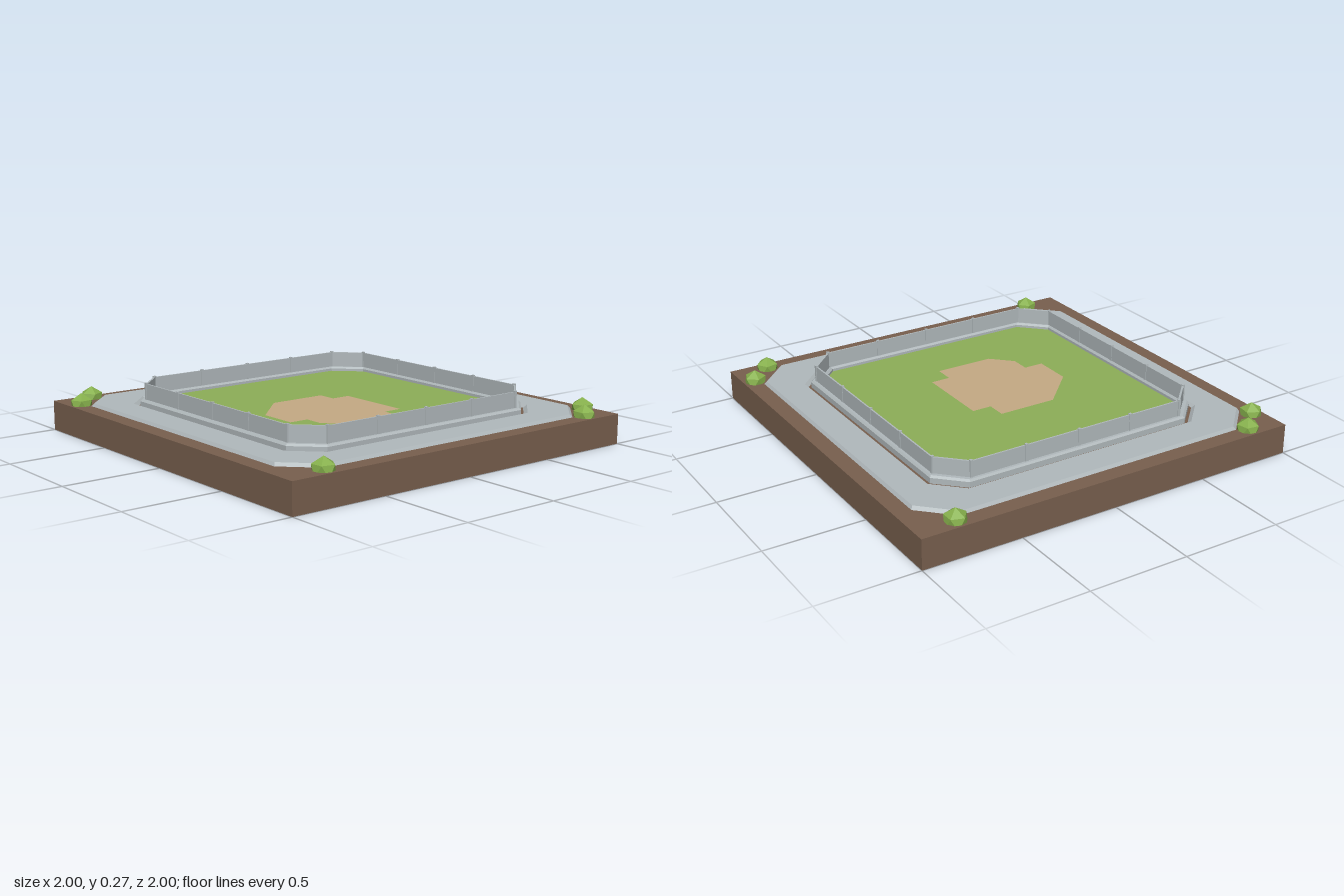
import * as THREE from 'three';

const mat = (name, color) => {
  const m = new THREE.MeshStandardMaterial({ color });
  m.name = name;
  return m;
};

// Square outline of half width h with cut corners starting at c, as [x, z]
const octagon = (h, c) => [[h, -c], [h, c], [c, h], [-c, h], [-h, c], [-h, -c], [-c, -h], [c, -h]];

// Closed band lofted through sections [halfWidth, cornerStart, y], outside to inside
function bandGeometry(sections) {
  const loops = sections.map(([h, c, y]) => octagon(h, c).map(([x, z]) => [x, y, z]));
  const pos = [];
  for (let i = 0; i < loops.length - 1; i++) {
    for (let j = 0; j < 8; j++) {
      const k = (j + 1) % 8;
      const a = loops[i][j], b = loops[i][k], c = loops[i + 1][k], d = loops[i + 1][j];
      pos.push(...a, ...d, ...c, ...a, ...c, ...b);
    }
  }
  const geo = new THREE.BufferGeometry();
  geo.setAttribute('position', new THREE.Float32BufferAttribute(pos, 3));
  geo.computeVertexNormals();
  return geo;
}

export function createModel() {
  const model = new THREE.Group();
  model.name = 'ballField';
  const earth = mat('earth brown', 0x785f4e);
  const concrete = mat('concrete grey', 0xb1b9bc);
  const grass = mat('grass green', 0x8dae58);
  const dirt = mat('infield tan', 0xc5aa84);
  const leaf = mat('leaf green', 0x86b04c);
  leaf.flatShading = true;

  const add = (name, geo, material, x = 0, y = 0, z = 0) => {
    const mesh = new THREE.Mesh(geo, material);
    mesh.name = name;
    mesh.position.set(x, y, z);
    model.add(mesh);
    return mesh;
  };

  // Ground slab
  add('groundSlab', new THREE.BoxGeometry(2, 0.15, 2), earth, 0, 0.075, 0);

  // Walkway with bevelled edges, leaving a narrow earth gap inside it
  add('walkway', bandGeometry([
    [0.915, 0.765, 0.15], [0.905, 0.755, 0.165], [0.755, 0.622, 0.165], [0.741, 0.61, 0.15],
  ]), concrete);

  // Raised curb carrying the wall
  add('curb', bandGeometry([
    [0.73, 0.602, 0.15], [0.73, 0.602, 0.178], [0.722, 0.596, 0.187], [0.698, 0.572, 0.187],
    [0.69, 0.565, 0.178], [0.69, 0.565, 0.15],
  ]), concrete);

  // Perimeter wall
  add('wall', bandGeometry([
    [0.709, 0.583, 0.185], [0.709, 0.583, 0.267], [0.701, 0.577, 0.267], [0.701, 0.577, 0.185],
  ]), concrete);

  // Wall posts along the four sides
  const postGeo = new THREE.BoxGeometry(0.014, 0.087, 0.014);
  for (const s of [-0.58, -0.29, 0, 0.29, 0.58]) {
    for (const e of [-0.705, 0.705]) {
      add('wallPost', postGeo, concrete, s, 0.2285, e);
      add('wallPost', postGeo, concrete, e, 0.2285, s);
    }
  }

  // Lawn with the dirt infield set flush into it
  const toPoints = (list) => list.map(([x, z]) => new THREE.Vector2(x, -z));
  const infield = toPoints([
    [-0.1, -0.2], [0.3, -0.2], [0.3, -0.1], [0.4, -0.1], [0.4, 0.2], [0.3, 0.3], [0.2, 0.3],
    [0.2, 0.4], [0, 0.4], [-0.2, 0.2], [-0.2, -0.1], [-0.1, -0.1],
  ]);
  const lawnShape = new THREE.Shape(toPoints(octagon(0.695, 0.568)));
  lawnShape.holes.push(new THREE.Path(infield));
  const flat = (shape) => new THREE.ShapeGeometry(shape).rotateX(-Math.PI / 2);
  add('lawn', flat(lawnShape), grass, 0, 0.165, 0);
  add('infield', flat(new THREE.Shape(infield)), dirt, 0, 0.165, 0);

  // Low-poly bushes, point upward and half sunk in the slab
  const bushGeo = new THREE.IcosahedronGeometry(0.06, 0).rotateX(-Math.atan((1 + Math.sqrt(5)) / 2));
  [[-0.94, -0.8], [0.82, -0.94], [0.94, -0.82], [-0.94, 0.815], [-0.82, 0.94], [0.94, 0.79]]
    .forEach(([x, z], i) => {
      add('bush', bushGeo, leaf, x, 0.152, z).rotation.y = i * 0.9;
    });

  return model;
}
